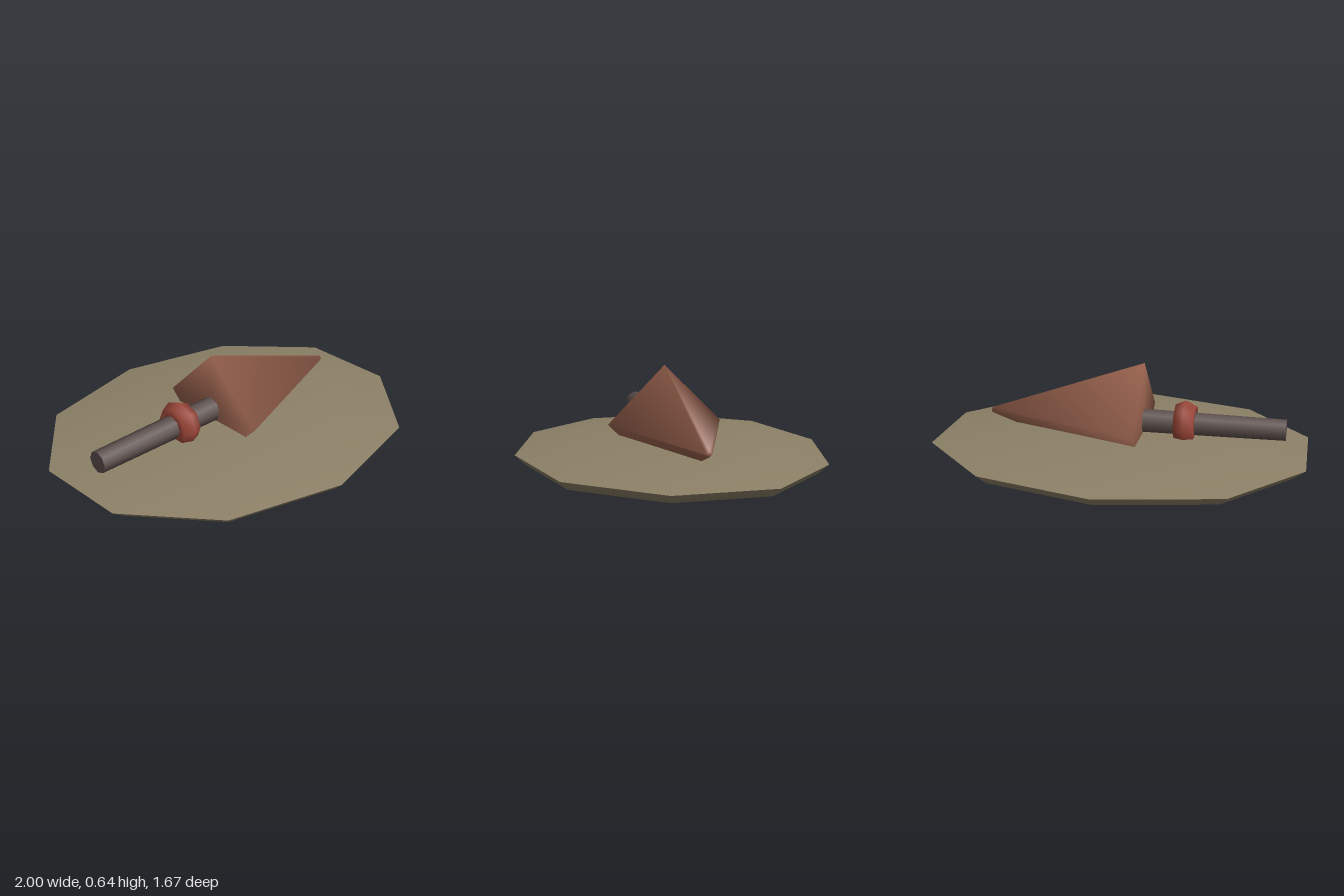
import * as THREE from 'three';
import { toCreasedNormals } from 'three/addons/utils/BufferGeometryUtils.js';

const paint = (name, color) => {
  const m = new THREE.MeshStandardMaterial({ color });
  m.name = name;
  return m;
};

// Slightly irregular ten-sided slab, stacked from scaled copies of one outline
function slabGeometry() {
  const outline = [
    [-0.02, -0.84], [0.6, -0.68], [1, -0.27], [1, 0.25], [0.62, 0.69],
    [-0.02, 0.835], [-0.63, 0.66], [-0.99, 0.24], [-1, -0.27], [-0.65, -0.7],
  ];
  const rings = [[0, 0.16], [0.94, 0.16], [1, 0.21], [0.65, 0.267], [0, 0.273]];
  const n = outline.length;
  const positions = [];
  const index = [];
  for (const [s, y] of rings) for (const [x, z] of outline) positions.push(x * s, y, z * s);
  for (let r = 0; r < rings.length - 1; r++) {
    for (let k = 0; k < n; k++) {
      const a = r * n + k;
      const b = r * n + ((k + 1) % n);
      if (rings[r][0] > 0) index.push(b, a, a + n);
      if (rings[r + 1][0] > 0) index.push(b, a + n, b + n);
      else index[index.length - 1] = a + n;
    }
  }
  const g = new THREE.BufferGeometry();
  g.setAttribute('position', new THREE.Float32BufferAttribute(positions, 3));
  g.setIndex(index);
  return toCreasedNormals(g, Math.PI / 3);
}

// Four-sided point whose shading rolls softly over every edge
function pointGeometry(tipRadius, baseRadius, length) {
  const g = new THREE.CylinderGeometry(tipRadius, baseRadius, length, 4, 1);
  const p = g.attributes.position;
  const v = new THREE.Vector3();
  for (let i = 0; i < p.count; i++) {
    v.set(p.getX(i), 0, p.getZ(i)).normalize();
    v.y = p.getY(i) > 0 ? 1.2 : -0.5;
    v.normalize();
    g.attributes.normal.setXYZ(i, v.x, v.y, v.z);
  }
  return g.rotateZ(-Math.PI / 2);
}

export function createModel() {
  const group = new THREE.Group();
  const stone = paint('stone', 0x8c8066);
  const clay = paint('clay', 0x945f4b);
  const wood = paint('darkWood', 0x5a4d4a);
  const red = paint('redBand', 0x9a4638);

  const add = (name, geometry, material, x = 0, y = 0, z = 0) => {
    const mesh = new THREE.Mesh(geometry, material);
    mesh.name = name;
    mesh.position.set(x, y, z);
    group.add(mesh);
  };

  add('slab', slabGeometry(), stone);

  // Arrowhead sunk through the slab, pointing along +x
  add('arrowhead', pointGeometry(0.015, 0.32, 0.86), clay, 0.31, 0.33, -0.005);

  // Handle, a little thicker toward the head
  const shaft = new THREE.CylinderGeometry(0.067, 0.059, 0.78, 8).rotateZ(-Math.PI / 2);
  add('shaft', shaft, wood, -0.49, 0.33, -0.01);

  // Collar around the handle
  const collar = new THREE.TorusGeometry(0.077, 0.05, 6, 8).rotateY(Math.PI / 2).scale(1.25, 1, 1);
  add('collar', collar, red, -0.345, 0.33, -0.007);

  return group;
}
